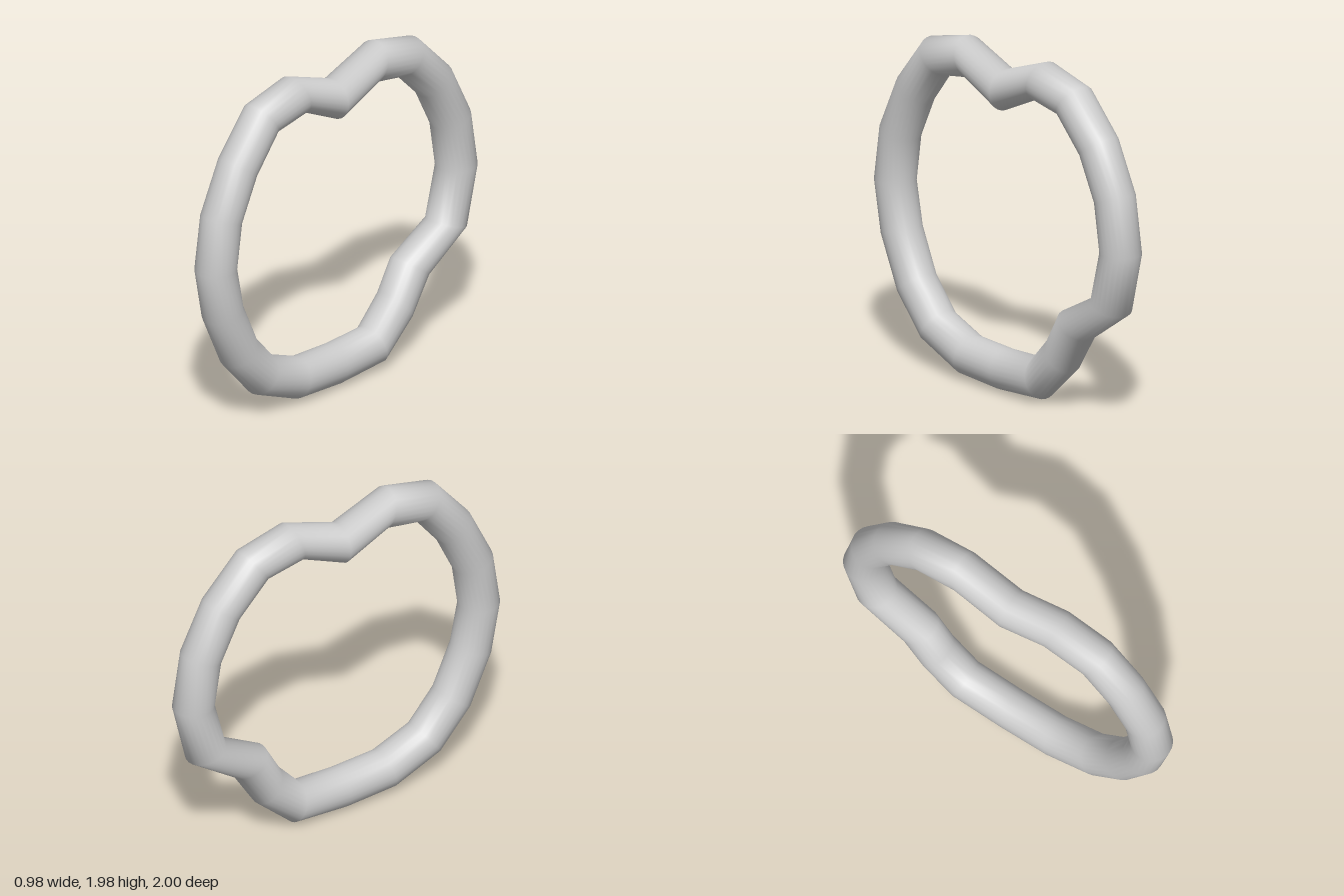
import * as THREE from 'three';

// Ring stations in side profile: outer edge (z, y), inner edge (z, y)
const STATIONS = [
  [0.02, 1.86, 0.02, 1.625],
  [0.33, 1.98, 0.26, 1.755],
  [0.62, 1.905, 0.47, 1.715],
  [0.82, 1.64, 0.62, 1.51],
  [0.95, 1.335, 0.73, 1.27],
  [1.0, 1.01, 0.76, 1.01],
  [0.945, 0.7, 0.715, 0.765],
  [0.81, 0.39, 0.615, 0.515],
  [0.62, 0.155, 0.47, 0.34],
  [0.33, 0.025, 0.265, 0.255],
  [0.02, 0.008, 0.02, 0.244],
  [-0.3, 0.03, -0.22, 0.255],
  [-0.51, 0.235, -0.35, 0.41],
  [-0.64, 0.455, -0.44, 0.585],
  [-0.92, 0.66, -0.69, 0.73],
  [-1.0, 1.02, -0.76, 1.02],
  [-0.95, 1.36, -0.72, 1.29],
  [-0.81, 1.66, -0.61, 1.53],
  [-0.59, 1.905, -0.44, 1.715],
  [-0.3, 1.98, -0.235, 1.755],
];
const RADIUS = 0.119;
const SIDES = 24;
const TURN = 0.4; // angle of the ring's plane away from the z axis

// Closed tube: one circular section per station, joined by quads
function ringGeometry() {
  const positions = [];
  const index = [];
  const n = STATIONS.length;
  const squash = Math.cos(TURN);
  STATIONS.forEach(([oz, oy, iz, iy], i) => {
    const cx = (oz + iz) / 2 / squash;
    const cy = (oy + iy) / 2 - 0.007;
    const out = new THREE.Vector2(oz - iz, (oy - iy) / squash).normalize();
    for (let j = 0; j < SIDES; j++) {
      const a = (j / SIDES) * Math.PI * 2;
      const r = RADIUS * Math.cos(a);
      positions.push(cx + out.x * r, cy + out.y * r, RADIUS * Math.sin(a));
      const k = (j + 1) % SIDES;
      const here = i * SIDES;
      const next = ((i + 1) % n) * SIDES;
      index.push(here + j, here + k, next + j, here + k, next + k, next + j);
    }
  });
  const geometry = new THREE.BufferGeometry();
  geometry.setAttribute('position', new THREE.Float32BufferAttribute(positions, 3));
  geometry.setIndex(index);
  geometry.computeVertexNormals();
  return geometry;
}

export function createModel() {
  const group = new THREE.Group();
  group.name = 'dentedRing';
  const ring = new THREE.Mesh(ringGeometry(), new THREE.MeshStandardMaterial({ color: 0xcccccc }));
  ring.name = 'ringTube';
  // Local +x runs towards the front right
  ring.rotation.y = -Math.PI / 2 - TURN;
  group.add(ring);
  return group;
}
